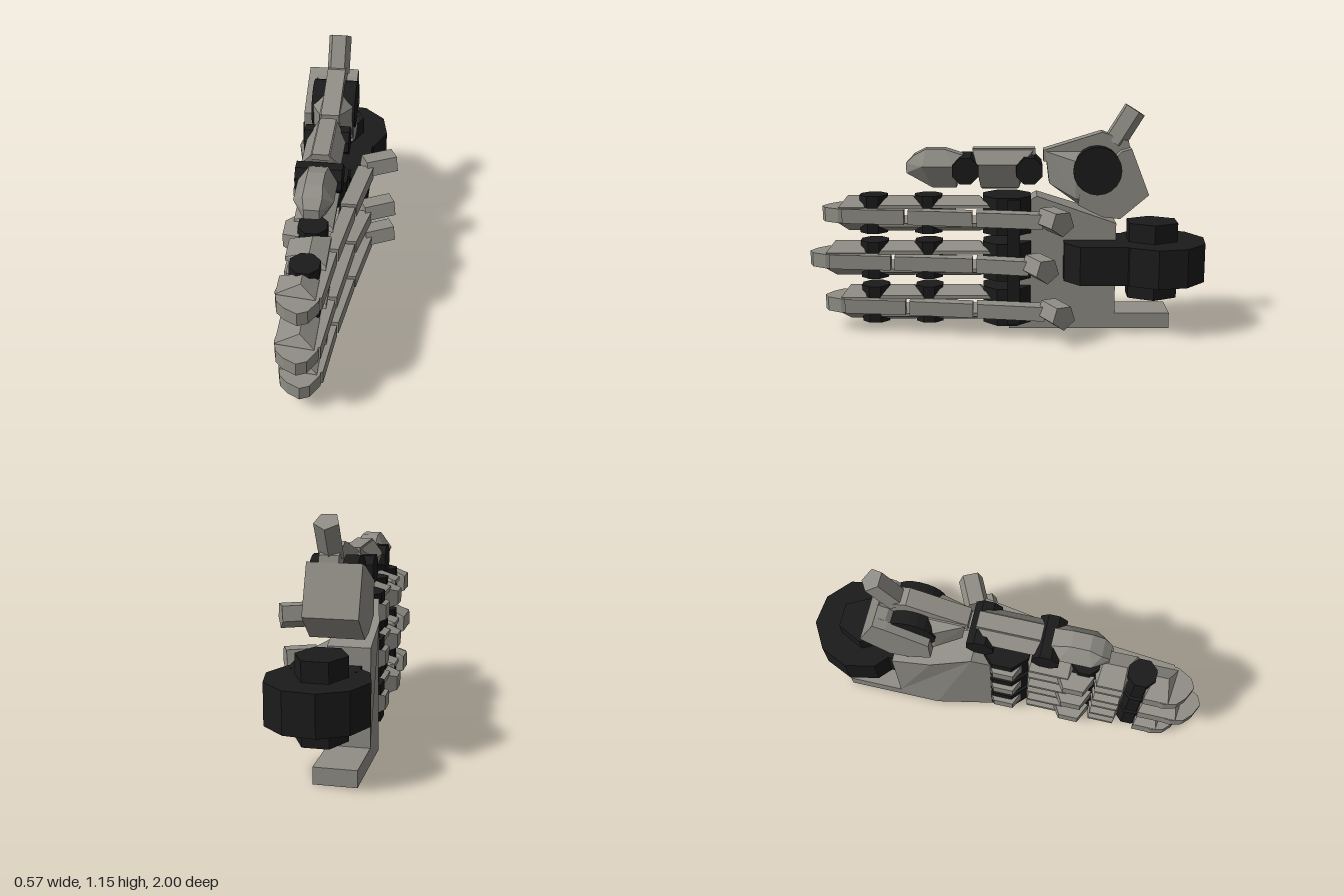
import * as THREE from 'three';
import { ConvexGeometry } from 'three/addons/geometries/ConvexGeometry.js';

const shell = new THREE.MeshStandardMaterial({ color: 0x8f8d85 });
shell.name = 'warm grey shell';
const joint = new THREE.MeshStandardMaterial({ color: 0x1b1b1b });
joint.name = 'black joint';

function add(parent, name, geometry, material) {
  const g = geometry.index ? geometry.toNonIndexed() : geometry;
  g.computeVertexNormals();
  const mesh = new THREE.Mesh(g, material);
  mesh.name = name;
  parent.add(mesh);
  return mesh;
}

// Side profile given as [z, y] points, extruded from x0 to x1
function slab(points, x0, x1) {
  const shape = new THREE.Shape(points.map(([z, y]) => new THREE.Vector2(z, y)));
  return new THREE.ExtrudeGeometry(shape, { depth: x1 - x0, bevelEnabled: false })
    .rotateY(-Math.PI / 2).translate(x1, 0, 0);
}

// Convex body: rows of [x, y, zBack, zFront]
const hull = (rows) => new ConvexGeometry(rows.flatMap(([x, y, z0, z1]) =>
  [new THREE.Vector3(x, y, z0), new THREE.Vector3(x, y, z1)]));

// Mirrored convex body: rows of [halfWidth, y, zBack, zFront]
const facetedBody = (rows) => hull(rows.flatMap(([w, ...rest]) => [[-w, ...rest], [w, ...rest]]));

const knuckle = (r, h, y, z) => new THREE.CylinderGeometry(r, r, h, 8)
  .rotateY(Math.PI / 8).rotateZ(Math.PI / 2).translate(0, y, z);

// Pentagonal peg running between two points
function peg(parent, name, from, to, r) {
  const a = new THREE.Vector3(...from), b = new THREE.Vector3(...to);
  const mesh = add(parent, name, new THREE.CylinderGeometry(r, r, a.distanceTo(b), 5), shell);
  mesh.position.copy(a).lerp(b, 0.5);
  mesh.quaternion.setFromUnitVectors(new THREE.Vector3(0, 1, 0), b.clone().sub(a).normalize());
  return mesh;
}

// Finger built with its rail facing up, then turned so the rail faces +x
function finger(name, height, tipZ, pegZ) {
  const f = new THREE.Group();
  f.name = name;
  f.position.set(-0.073, height, 0);
  f.rotation.z = -Math.PI / 2;
  const t = tipZ - 0.93;

  add(f, 'baseKnuckle', knuckle(0.13, 0.19, 0, 0), joint);
  add(f, 'middleKnuckle', knuckle(0.074, 0.19, 0, 0.395), joint);
  add(f, 'endKnuckle', knuckle(0.074, 0.19, 0, 0.67), joint);

  // Each segment is a pair of side plates with an open centre
  for (const [z0, z1] of [[0.11, 0.345], [0.445, 0.615]])
    for (const s of [-1, 1])
      add(f, 'segmentSidePlate', hull([
        [s * 0.038, 0.09, z0 - 0.03, z1 + 0.03],
        [s * 0.055, 0.09, z0 - 0.02, z1 + 0.02],
        [s * 0.092, 0.01, z0 + 0.03, z1 - 0.02],
        [s * 0.06, -0.1, z0 + 0.02, z1 - 0.02],
        [s * 0.038, -0.1, z0 + 0.02, z1 - 0.02],
      ]), shell);

  for (const [z0, z1] of [[-0.09, 0.1], [0.26, 0.45]])
    add(f, 'fingerPad', facetedBody([
      [0.06, -0.06, z0, z1],
      [0.036, -0.142, z0 + 0.05, z1 - 0.04],
    ]), shell);

  // Fingertip: wide core with a narrow blunt nose
  add(f, 'fingertipCore', facetedBody([
    [0.04, 0.07, 0.71, 0.84 + t],
    [0.09, 0.0, 0.735, 0.8 + t],
    [0.04, -0.11, 0.7, 0.82 + t],
  ]), shell);
  add(f, 'fingertipNose', slab([
    [0.72, -0.1], [0.8 + t, -0.115], [0.86 + t, -0.1], [0.9 + t, -0.06], [0.93 + t, 0.0],
    [0.91 + t, 0.045], [0.84 + t, 0.085], [0.72, 0.09],
  ], -0.036, 0.036), shell);

  // Rail sections, each [back z, back y, front z, front y, thickness]
  for (const [z0, y0, z1, y1, d] of [
    [0.51 + t, 0.125, 0.82 + t, 0.095, 0.06],
    [0.17, 0.175, 0.49 + t, 0.13, 0.065],
    [pegZ + 0.06, 0.235, 0.15, 0.18, 0.08],
  ])
    add(f, 'railSection', slab(
      [[z0, y0 - d], [z1, y1 - d], [z1, y1], [z0, y0]], -0.036, 0.036), shell);

  peg(f, 'railPeg', [-0.013, 0.185, pegZ + 0.04], [-0.013, 0.33, pegZ - 0.03], 0.064)
    .rotateY(Math.PI / 2);
  return f;
}

function thumb() {
  const t = new THREE.Group();
  t.name = 'thumb';
  t.position.set(-0.065, 0.83, 0);
  for (const z of [-0.11, 0.205]) add(t, 'thumbKnuckle', knuckle(0.07, 0.22, 0, z), joint);

  add(t, 'thumbSegment', facetedBody([
    [0.045, 0.095, -0.13, 0.17],
    [0.095, 0.03, -0.07, 0.15],
    [0.05, -0.09, -0.06, 0.13],
    [0.035, -0.1, -0.05, 0.12],
  ]), shell);
  add(t, 'thumbRail', slab([[-0.14, 0.07], [0.17, 0.07], [0.17, 0.102], [-0.14, 0.102]], -0.04, 0.04), shell);
  add(t, 'thumbTip', facetedBody([
    [0.04, 0.1, 0.31, 0.4],
    [0.045, 0.07, 0.22, 0.46],
    [0.093, 0.02, 0.26, 0.42],
    [0.035, 0.03, 0.22, 0.5],
    [0.035, -0.02, 0.22, 0.5],
    [0.05, -0.09, 0.25, 0.37],
  ]), shell);

  // Ridge leading back from the thumb over the pivot
  add(t, 'thumbRidge', slab([
    [-0.18, 0.04], [-0.18, 0.095], [-0.47, 0.185], [-0.6, 0.14], [-0.62, 0.05], [-0.45, 0.0],
  ], -0.042, 0.048), shell);
  peg(t, 'thumbPeg', [0.004, 0.13, -0.53], [0.004, 0.293, -0.63], 0.06).rotateY(Math.PI);
  return t;
}

function thumbMount() {
  const m = new THREE.Group();
  m.name = 'thumbMount';
  add(m, 'mountSidePlate', slab([
    [-0.35, 0.82], [-0.55, 0.92], [-0.61, 0.94], [-0.7, 0.71], [-0.56, 0.59],
    [-0.47, 0.6], [-0.35, 0.66],
  ], -0.215, -0.17), shell);
  add(m, 'mountBody', slab([
    [-0.56, 0.925], [-0.61, 0.94], [-0.7, 0.71], [-0.56, 0.59], [-0.47, 0.6], [-0.35, 0.66], [-0.36, 0.72],
  ], -0.17, 0.038), shell);
  // Tapered nose joining the pivot to the thumb
  add(m, 'mountNose', facetedBody([
    [0.05, 0.92, -0.4, -0.19],
    [0.1, 0.88, -0.4, -0.33],
    [0.1, 0.69, -0.4, -0.34],
    [0.05, 0.76, -0.4, -0.21],
    [0.06, 0.66, -0.4, -0.35],
  ]).translate(-0.065, 0, 0), shell);
  add(m, 'thumbPivot', new THREE.CylinderGeometry(0.12, 0.12, 0.22, 20)
    .rotateZ(Math.PI / 2).translate(-0.065, 0.83, -0.445), joint);
  return m;
}

function palm() {
  const g = slab([
    [-0.01, 0], [-0.01, 0.5], [-0.06, 0.64], [-0.15, 0.69], [-0.35, 0.62], [-0.55, 0.55],
    [-0.55, 0.08], [-0.83, 0.08], [-0.83, 0], [-0.35, 0],
  ], -0.24, -0.04);
  // Taper the outer face towards the fingers
  const p = g.attributes.position;
  for (let i = 0; i < p.count; i++)
    if (p.getX(i) < -0.2 && p.getZ(i) > -0.35) p.setX(i, -0.24 + 0.2 * (p.getZ(i) + 0.35));
  return g;
}

function wrist() {
  const w = new THREE.Group();
  w.name = 'wrist';
  add(w, 'wristDrum', new THREE.CylinderGeometry(0.242, 0.242, 0.195, 10)
    .rotateY(0.2).translate(-0.05, 0.367, -0.765), joint);
  // Stem with chamfered front corners, outlined as [x, z]
  const outline = [[0.12, -0.65], [0.12, -0.36], [0.03, -0.285], [-0.1, -0.285], [-0.2, -0.4], [-0.2, -0.65]]
    .map(([x, z]) => new THREE.Vector2(x, z));
  add(w, 'wristStem', new THREE.ExtrudeGeometry(new THREE.Shape(outline), { depth: 0.195, bevelEnabled: false })
    .rotateX(Math.PI / 2).translate(0, 0.465, 0), joint);
  // Hexagonal hub with flat faces front and back
  add(w, 'wristHub', new THREE.CylinderGeometry(0.141, 0.141, 0.385, 6)
    .rotateY(Math.PI / 6).scale(0.86, 1, 1).translate(-0.06, 0.367, -0.733), joint);
  return w;
}

export function createModel() {
  const hand = new THREE.Group();
  hand.name = 'mechanicalHand';
  add(hand, 'palm', palm(), shell);
  add(hand, 'knuckleBar', new THREE.BoxGeometry(0.23, 0.64, 0.065).translate(-0.06, 0.367, -0.033), joint);
  hand.add(wrist(), thumbMount(), thumb());
  hand.add(
    finger('upperFinger', 0.6, 0.93, -0.235),
    finger('middleFinger', 0.367, 1.0, -0.165),
    finger('lowerFinger', 0.135, 0.93, -0.245),
  );
  return hand;
}
